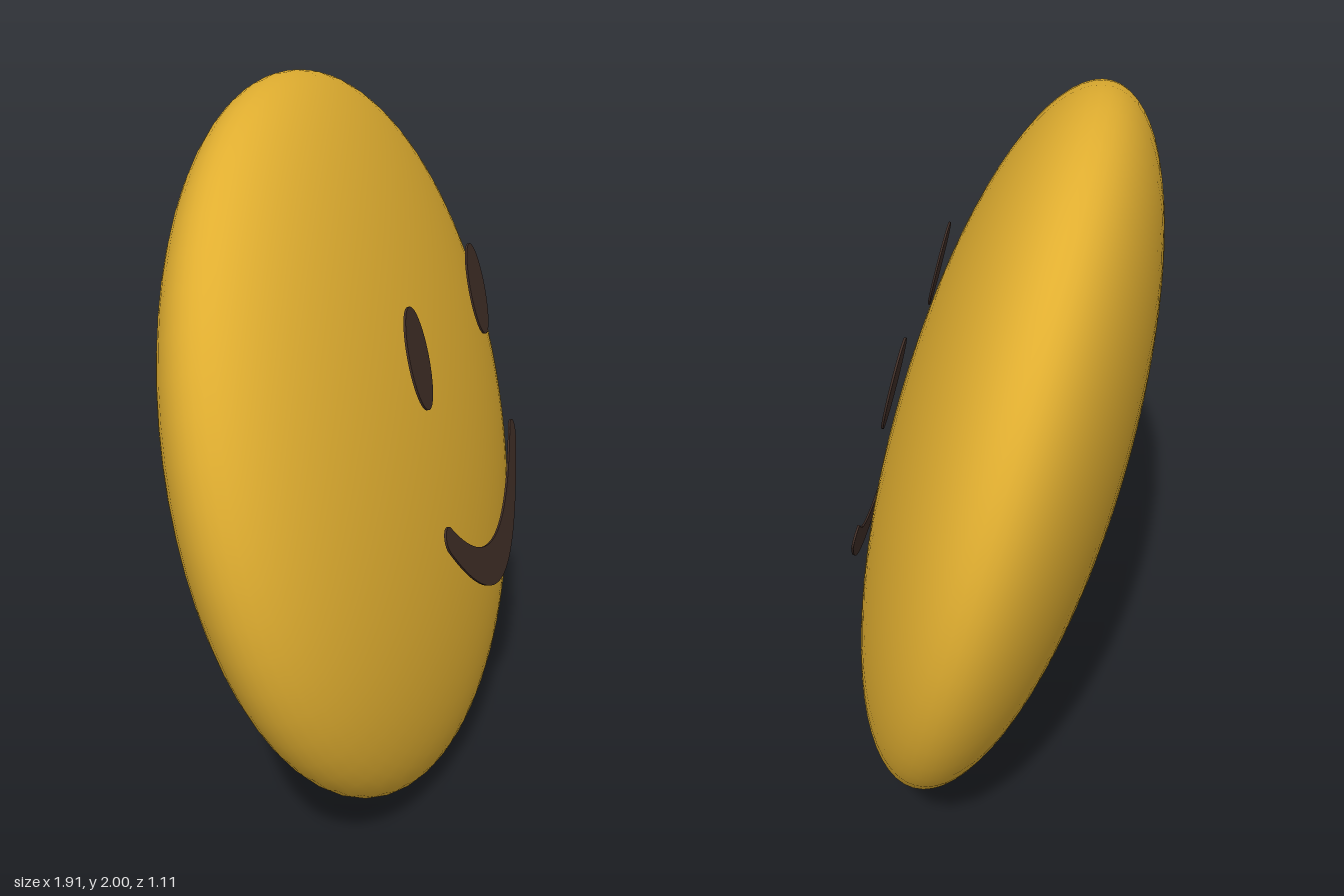
import * as THREE from 'three';

export function createModel() {
  const yellow = new THREE.MeshStandardMaterial({ color: 0xe0ae30 });
  yellow.name = 'golden yellow';
  const brown = new THREE.MeshStandardMaterial({ color: 0x402e27 });
  brown.name = 'dark brown';

  const model = new THREE.Group();
  model.name = 'smilingFace';

  // Everything is built facing +z, then the head is tilted as one
  const head = new THREE.Group();
  head.name = 'head';
  head.position.y = 1;
  head.rotation.set(-0.2475, 0.4096, -0.056, 'YXZ');
  model.add(head);

  const add = (name, geometry, material) => {
    const mesh = new THREE.Mesh(geometry, material);
    mesh.name = name;
    head.add(mesh);
    return mesh;
  };

  // Flattened round body
  const body = new THREE.SphereGeometry(1, 64, 40);
  body.rotateX(Math.PI / 2);
  body.scale(1.028, 1.028, 0.332);
  add('body', body, yellow);

  // Thin flat plate in front of the face
  const plate = (name, shape) => {
    const geometry = new THREE.ExtrudeGeometry(shape, {
      depth: 0.006, bevelEnabled: false, curveSegments: 24,
    });
    add(name, geometry, brown).position.z = 0.333;
  };

  // Oval eyes
  for (const [name, side] of [['leftEye', 1], ['rightEye', -1]]) {
    const eye = new THREE.Shape();
    eye.absellipse(side * 0.332, 0.285, 0.079, 0.137, 0, Math.PI * 2);
    plate(name, eye);
  }

  // Crescent smile with rounded tips
  const smile = new THREE.Shape();
  smile.moveTo(0, -0.484);
  smile.bezierCurveTo(0.13, -0.484, 0.27, -0.4, 0.424, -0.214);
  smile.bezierCurveTo(0.455, -0.165, 0.4, -0.13, 0.365, -0.18);
  smile.bezierCurveTo(0.24, -0.3, 0.12, -0.36, 0, -0.36);
  smile.bezierCurveTo(-0.12, -0.36, -0.24, -0.3, -0.365, -0.18);
  smile.bezierCurveTo(-0.4, -0.13, -0.455, -0.165, -0.424, -0.214);
  smile.bezierCurveTo(-0.27, -0.4, -0.13, -0.484, 0, -0.484);
  plate('smile', smile);

  return model;
}
